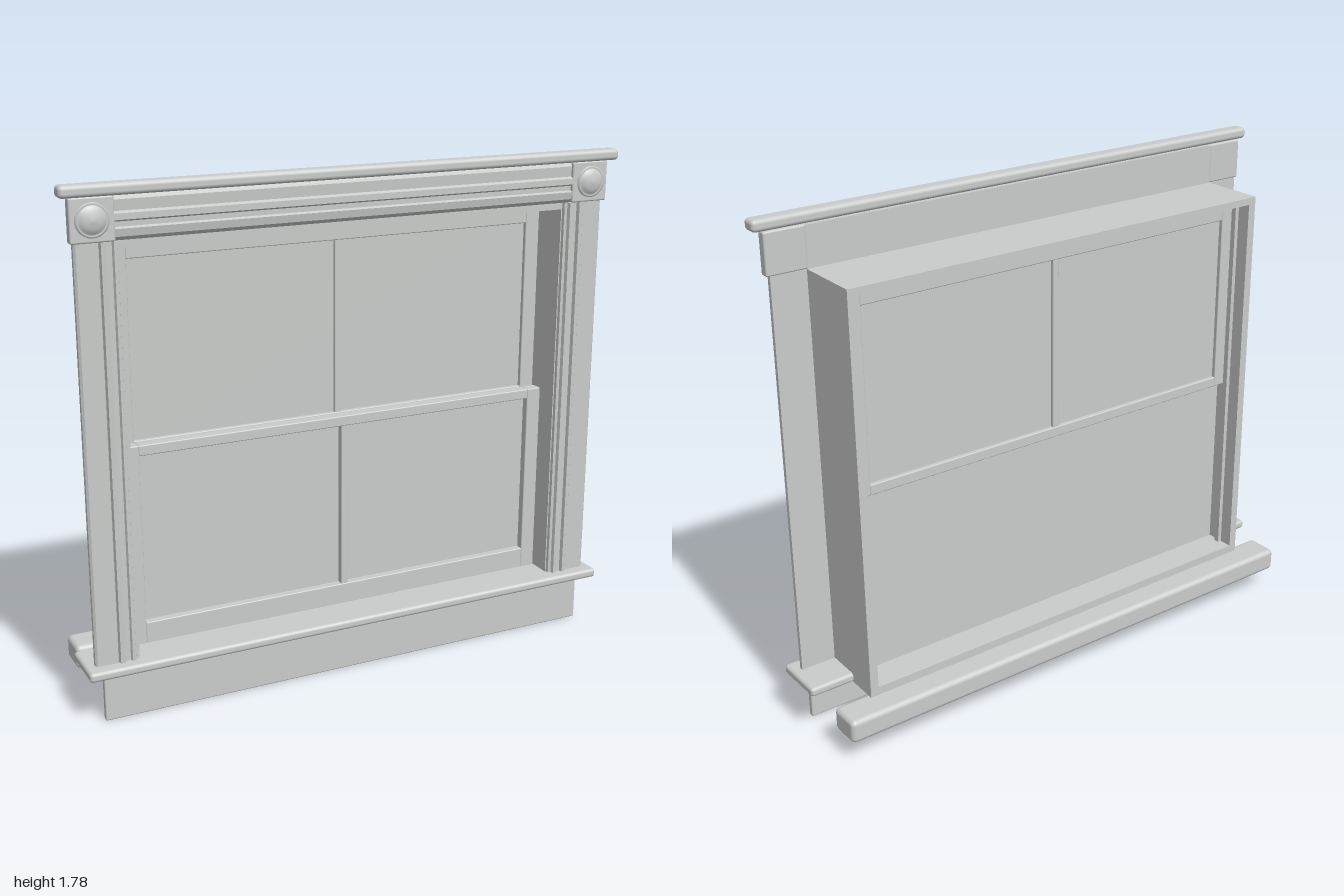
import * as THREE from 'three';
import { RoundedBoxGeometry } from 'three/addons/geometries/RoundedBoxGeometry.js';

export function createModel() {
  const group = new THREE.Group();
  const paint = new THREE.MeshStandardMaterial({ color: 0xc9ccca });
  paint.name = 'pale grey paint';

  const add = (name, geometry, parent = group) => {
    const mesh = new THREE.Mesh(geometry, paint);
    mesh.name = name;
    parent.add(mesh);
    return mesh;
  };
  // Box given by its limits on each axis, with an optional edge radius
  const box = (name, [x0, x1], [y0, y1], [z0, z1], r = 0, parent = group) => {
    const w = x1 - x0, h = y1 - y0, d = z1 - z0;
    const g = r ? new RoundedBoxGeometry(w, h, d, 3, r) : new THREE.BoxGeometry(w, h, d);
    g.translate((x0 + x1) / 2, (y0 + y1) / 2, (z0 + z1) / 2);
    return add(name, g, parent);
  };
  const span = (s, a, b) => (s > 0 ? [a, b] : [-b, -a]);
  const extrude = (points, depth) => new THREE.ExtrudeGeometry(
    new THREE.Shape(points.map(([a, b]) => new THREE.Vector2(a, b))),
    { depth, bevelEnabled: false });

  // Deep frame lining the opening
  for (const s of [1, -1]) {
    box('jamb', span(s, 0.8, 0.83), [0.17, 1.6], [-0.11, 0.135]);
    box('partingStop', span(s, 0.785, 0.8), [0.2, 1.575], [-0.06, -0.04]);
  }
  box('frameHead', [-0.8, 0.8], [1.575, 1.6], [-0.11, 0.135]);
  box('frameBase', [-0.8, 0.8], [0.17, 0.2], [-0.11, 0.02]);

  // Side casings: flat outer band and stepped inner mouldings, as [x, z]
  const casing = [
    [0.955, 0.13], [0.955, 0.145], [0.948, 0.152], [0.878, 0.152], [0.875, 0.147],
    [0.872, 0.16], [0.857, 0.163], [0.853, 0.15], [0.835, 0.15], [0.831, 0.16],
    [0.82, 0.16], [0.816, 0.148], [0.806, 0.146], [0.803, 0.13],
  ];
  for (const s of [1, -1]) {
    const g = extrude(casing.map(([x, z]) => [s * x, -z]), 1.4);
    g.rotateX(-Math.PI / 2).translate(0, 0.2, 0);
    add('sideCasing', g);
  }

  // Moulded head casing, as [z, y]
  const head = [
    [0.13, 1.6], [0.145, 1.6], [0.155, 1.612], [0.16, 1.637], [0.15, 1.642],
    [0.15, 1.658], [0.162, 1.664], [0.162, 1.684], [0.15, 1.69], [0.152, 1.725],
    [0.147, 1.738], [0.13, 1.738],
  ];
  const headGeometry = extrude(head.map(([z, y]) => [-z, y]), 1.66);
  headGeometry.rotateY(Math.PI / 2).translate(-0.83, 0, 0);
  add('headCasing', headGeometry);

  // Corner blocks with domed rosettes
  const dome = [[0.054, 0], [0.054, 0.008], [0.047, 0.009], [0.045, 0.006],
    [0.04, 0.012], [0.025, 0.019], [0, 0.022]].map(([r, h]) => new THREE.Vector2(r, h));
  for (const s of [1, -1]) {
    box('cornerBlock', span(s, 0.825, 0.967), [1.6, 1.74], [0.128, 0.162], 0.006);
    const rosette = add('rosette', new THREE.LatheGeometry(dome, 32).rotateX(Math.PI / 2));
    rosette.position.set(s * 0.897, 1.67, 0.16);
  }

  // Crown, inner sill, apron and outer sill
  box('crown', [-1, 1], [1.741, 1.78], [0.127, 0.185], 0.014);
  box('innerSill', [-0.988, 0.988], [0.17, 0.203], [0.005, 0.198], 0.012);
  box('apron', [-0.93, 0.93], [0, 0.172], [0.13, 0.152], 0.005);
  box('outerSill', [-0.955, 0.955], [0.085, 0.17], [-0.2, -0.08], 0.018);

  // Sashes: the lower one slides in front of the upper one
  const sash = (name, y0, y1, bottom, top, z0, z1, glassZ) => {
    const part = new THREE.Group();
    part.name = name;
    group.add(part);
    for (const s of [1, -1]) box('stile', span(s, 0.745, 0.8), [y0, y1], [z0, z1], 0.004, part);
    box('bottomRail', [-0.746, 0.746], [y0, y0 + bottom], [z0, z1], 0.004, part);
    box('topRail', [-0.746, 0.746], [y1 - top, y1], [z0, z1], 0.004, part);
    box('muntin', [-0.0125, 0.0125], [y0 + bottom - 0.003, y1 - top + 0.003],
      [z0 + 0.003, z1 - 0.003], 0.004, part);
    return box('pane', [-0.748, 0.748], [y0 + 0.01, y1 - 0.01],
      [glassZ - 0.003, glassZ + 0.003], 0, part);
  };
  sash('upperSash', 0.868, 1.575, 0.037, 0.065, -0.036, 0, -0.018);
  sash('lowerSash', 0.2, 0.905, 0.077, 0.036, 0.01, 0.052, 0.022);
  // Flush sheet closing the back of the lower sash
  box('lowerBackSheet', [-0.8, 0.8], [0.2, 0.9], [0.004, 0.012]);

  return group;
}
